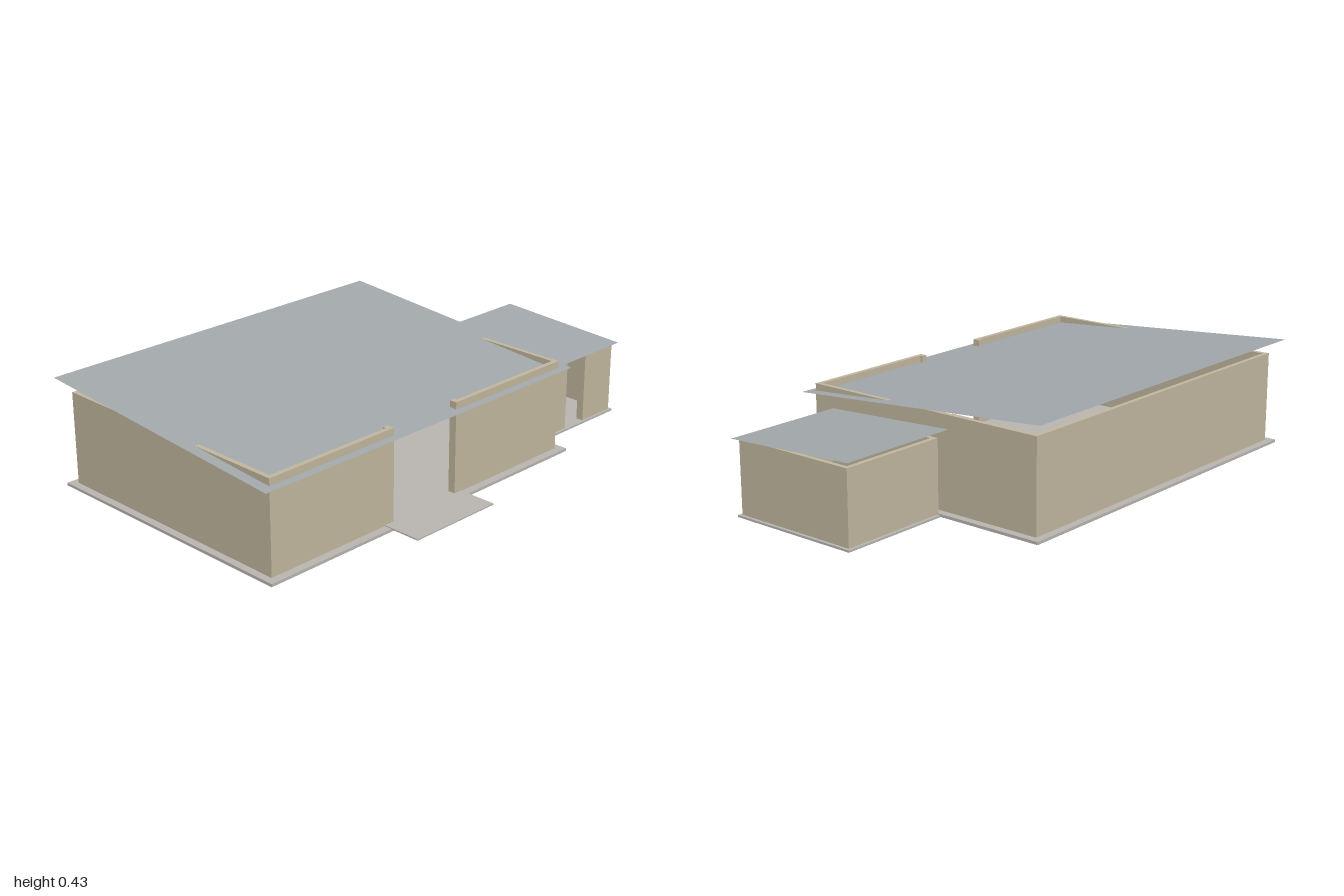
import * as THREE from 'three';

const wallMat = new THREE.MeshStandardMaterial({ color: 0xc2b8a0 });
const floorMat = new THREE.MeshStandardMaterial({ color: 0xbab7b1 });
const roofMat = new THREE.MeshStandardMaterial({ color: 0xa3a9ac, side: THREE.DoubleSide });

function add(group, name, geometry, material) {
  const mesh = new THREE.Mesh(geometry, material);
  mesh.name = name;
  group.add(mesh);
  return mesh;
}

// Box given by its limits on each axis
function slab(group, name, [x0, x1], [y0, y1], [z0, z1]) {
  add(group, name, new THREE.BoxGeometry(x1 - x0, y1 - y0, z1 - z0), floorMat)
    .position.set((x0 + x1) / 2, (y0 + y1) / 2, (z0 + z1) / 2);
}

// One continuous wall run around a room, open at the front between d0 and d1,
// with a short thickened jamb on each side of the opening
function walls(group, name, [x0, x1], [y0, y1], [z0, z1], [d0, d1]) {
  const t = 0.018, jamb = 0.022, deep = 0.03;
  const plan = [
    [d0, z1], [x0, z1], [x0, z0], [x1, z0], [x1, z1], [d1, z1],
    [d1, z1 - deep], [d1 + jamb, z1 - deep], [d1 + jamb, z1 - t],
    [x1 - t, z1 - t], [x1 - t, z0 + t], [x0 + t, z0 + t], [x0 + t, z1 - t],
    [d0 - jamb, z1 - t], [d0 - jamb, z1 - deep], [d0, z1 - deep],
  ];
  const shape = new THREE.Shape(plan.map(([x, z]) => new THREE.Vector2(x, -z)));
  const geometry = new THREE.ExtrudeGeometry(shape, { depth: y1 - y0, bevelEnabled: false });
  geometry.rotateX(-Math.PI / 2).translate(0, y0, 0);
  add(group, name, geometry, wallMat);
}

// Thin sheet rising from the front edge to the back edge
function roof(group, name, [x0, x1], [yFront, yBack], [zBack, zFront]) {
  const geometry = new THREE.PlaneGeometry(x1 - x0, 1);
  const p = geometry.attributes.position;
  for (let i = 0; i < p.count; i++) {
    const back = p.getY(i) > 0;
    p.setXYZ(i, p.getX(i) + (x0 + x1) / 2, back ? yBack : yFront, back ? zBack : zFront);
  }
  geometry.computeVertexNormals();
  add(group, name, geometry, roofMat);
}

export function createModel() {
  const model = new THREE.Group();
  model.name = 'house';

  // Main house
  const main = new THREE.Group();
  main.name = 'mainHouse';
  slab(main, 'mainFloor', [-0.987, 0.535], [0.002, 0.013], [-0.61, 0.498]);
  slab(main, 'porch', [-0.428, -0.033], [0.011, 0.016], [0.44, 0.621]);
  walls(main, 'mainWalls', [-0.958, 0.505], [0.013, 0.37], [-0.58, 0.466], [-0.385, -0.068]);
  roof(main, 'mainRoof', [-1, 0.547], [0.34, 0.425], [-0.626, 0.496]);

  // Side annex
  const annex = new THREE.Group();
  annex.name = 'annex';
  slab(annex, 'annexFloor', [0.52, 0.987], [0, 0.008], [-0.172, 0.374]);
  walls(annex, 'annexWalls', [0.53, 0.975], [0.008, 0.288], [-0.16, 0.364], [0.695, 0.807]);
  roof(annex, 'annexRoof', [0.505, 1], [0.29, 0.318], [-0.187, 0.378]);

  model.add(main, annex);
  return model;
}
